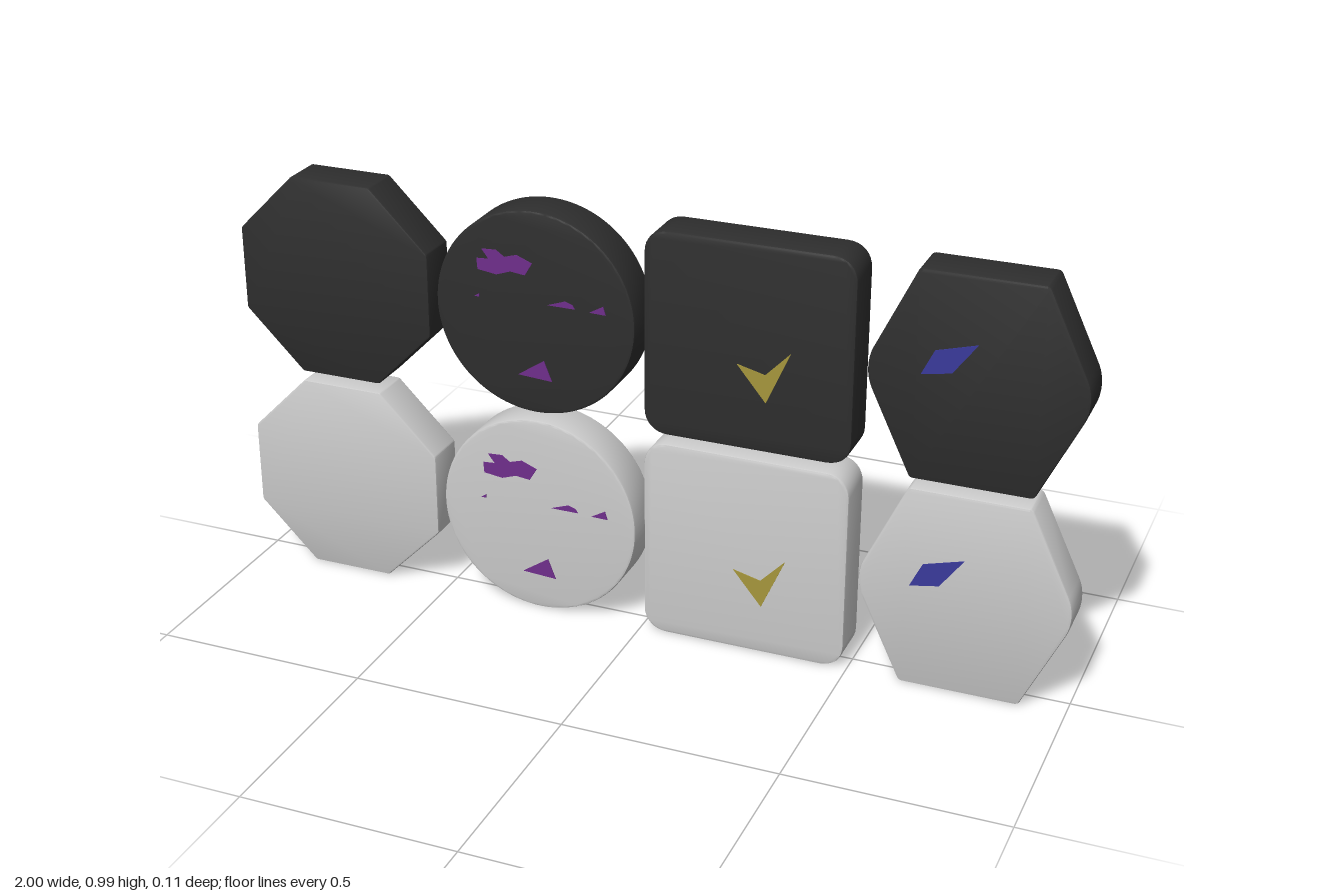
import * as THREE from 'three';
import { toCreasedNormals } from 'three/addons/utils/BufferGeometryUtils.js';

const HALF = 0.241;   // half width of a tile
const DEPTH = 0.104;  // tile thickness
const BEVEL = 0.005;

// Closed outline from corners [x, y, cut], each rounded over a length "cut"
function roundedShape(corners) {
  const shape = new THREE.Shape();
  const n = corners.length;
  const toward = (p, q, d) => p.clone().add(q.clone().sub(p).setLength(d));
  const pts = corners.map(([x, y]) => new THREE.Vector2(x, y));
  pts.forEach((p, i) => {
    const prev = pts[(i + n - 1) % n], next = pts[(i + 1) % n], cut = corners[i][2];
    const a = toward(p, prev, cut), b = toward(p, next, cut);
    const c = toward(p, prev, cut * 0.42), d = toward(p, next, cut * 0.42);
    if (i === 0) shape.moveTo(a.x, a.y); else shape.lineTo(a.x, a.y);
    shape.bezierCurveTo(c.x, c.y, d.x, d.y, b.x, b.y);
  });
  shape.closePath();
  return shape;
}

function octagonShape() {
  const corners = [];
  const r = HALF / Math.cos(Math.PI / 8);
  for (let i = 0; i < 8; i++) {
    const a = (i + 0.5) * Math.PI / 4;
    corners.push([r * Math.cos(a), r * Math.sin(a), 0.004]);
  }
  return roundedShape(corners);
}

function circleShape() {
  const shape = new THREE.Shape();
  shape.absarc(0, 0, HALF + 0.001, 0, Math.PI * 2);
  return shape;
}

function squareShape() {
  const h = HALF, r = 0.055;
  return roundedShape([[h, -h, r], [h, h, r], [-h, h, r], [-h, -h, r]]);
}

function hexagonShape() {
  const h = HALF, w = 0.136, tip = 0.251;
  return roundedShape([
    [tip, 0, 0.052], [w, h, 0.008], [-w, h, 0.008],
    [-tip, 0, 0.052], [-w, -h, 0.008], [w, -h, 0.008],
  ]);
}

// Bevelled slab centred on z = 0
function tileGeometry(shape, curveSegments) {
  const g = new THREE.ExtrudeGeometry(shape, {
    depth: DEPTH - 2 * BEVEL, bevelEnabled: true, bevelThickness: BEVEL,
    bevelSize: BEVEL, bevelOffset: -BEVEL, bevelSegments: 2, curveSegments,
  });
  g.translate(0, 0, -DEPTH / 2 + BEVEL);
  return toCreasedNormals(g, 0.5);
}

// Thin coloured inlay pieces, as outlines relative to the tile centre
const inlays = {
  circle: {
    color: 0x6f2e8b,
    pieces: [
      [[-0.136, 0.088], [-0.09, 0.082], [-0.055, 0.094], [-0.02, 0.09], [-0.002, 0.12],
        [-0.04, 0.135], [-0.07, 0.126], [-0.09, 0.14], [-0.125, 0.138], [-0.108, 0.116], [-0.138, 0.114]],
      [[-0.146, 0.022], [-0.134, 0.022], [-0.134, 0.03]],
      [[0.034, 0.027], [0.1, 0.027], [0.094, 0.036], [0.076, 0.042]],
      [[0.135, 0.025], [0.174, 0.024], [0.168, 0.044]],
      [[-0.042, -0.153], [0.041, -0.158], [0.022, -0.11]],
    ],
  },
  square: {
    color: 0xa5963c,
    pieces: [[[-0.023, -0.04], [0.045, -0.122], [0.1, 0.004], [0.042, -0.056]]],
  },
  hexagon: {
    color: 0x3a3a9b,
    pieces: [[[-0.122, 0.006], [-0.055, 0.018], [-0.002, 0.09], [-0.094, 0.064]]],
  },
};

export function createModel() {
  const model = new THREE.Group();
  const columns = [
    ['octagon', -0.76, tileGeometry(octagonShape(), 2)],
    ['circle', -0.255, tileGeometry(circleShape(), 48)],
    ['square', 0.25, tileGeometry(squareShape(), 8)],
    ['hexagon', 0.758, tileGeometry(hexagonShape(), 8)],
  ];
  const rows = [
    ['light', 0.245, new THREE.MeshStandardMaterial({ color: 0xcccccc })],
    ['dark', 0.751, new THREE.MeshStandardMaterial({ color: 0x2e2e2e })],
  ];

  // Two rows of four tiles
  for (const [tone, y, material] of rows) {
    for (const [name, x, geometry] of columns) {
      const tile = new THREE.Group();
      tile.name = `${tone} ${name} tile`;
      tile.position.set(x, y, 0);
      const body = new THREE.Mesh(geometry, material);
      body.name = `${name} body`;
      tile.add(body);

      // Coloured inlay on the front face
      const inlay = inlays[name];
      if (inlay) {
        const shapes = inlay.pieces.map(
          (p) => new THREE.Shape(p.map(([px, py]) => new THREE.Vector2(px, py))));
        const mesh = new THREE.Mesh(
          new THREE.ExtrudeGeometry(shapes, { depth: 0.004, bevelEnabled: false }),
          new THREE.MeshStandardMaterial({ color: inlay.color }));
        mesh.name = `${name} inlay`;
        mesh.position.z = DEPTH / 2 - 0.002;
        tile.add(mesh);
      }
      model.add(tile);
    }
  }
  return model;
}
